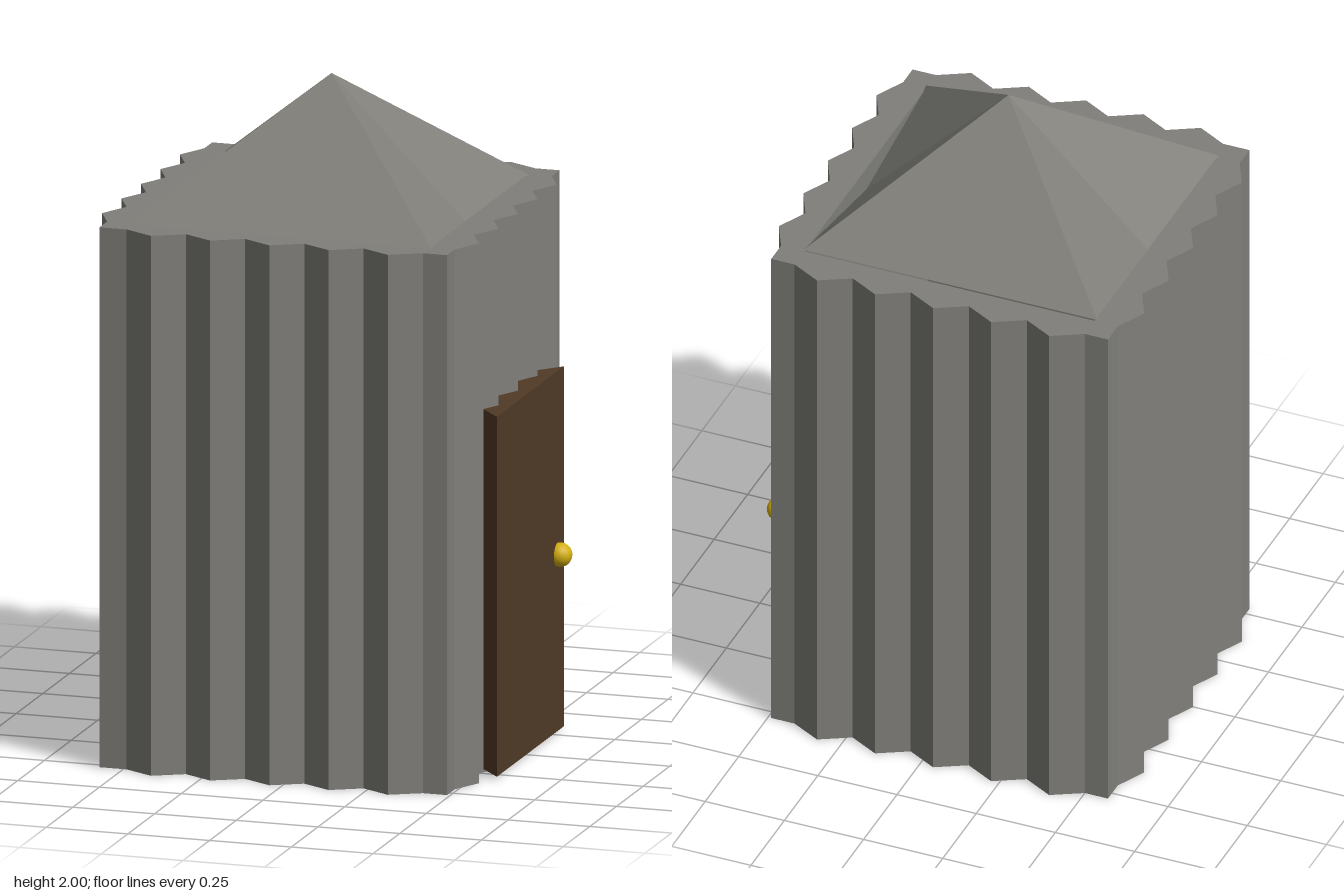
import * as THREE from 'three';

const WALL_TOP = 1.62;

const paint = (color, extra = {}) => new THREE.MeshStandardMaterial({ color, ...extra });

function addMesh(group, name, geometry, material) {
  const mesh = new THREE.Mesh(geometry, material);
  mesh.name = name;
  group.add(mesh);
  return mesh;
}

// Extrudes a plan drawn in (x, z) between two heights
function extrudePlan(shape, bottom, top) {
  const geometry = new THREE.ExtrudeGeometry(shape, { depth: top - bottom, bevelEnabled: false });
  geometry.rotateX(Math.PI / 2);
  geometry.translate(0, top, 0);
  return geometry;
}

// Zigzag of five ribs from a to b; peaks are pushed out by (ox, oz)
function ribs(a, b, ox, oz) {
  const points = [];
  for (let i = 0; i <= 10; i++) {
    const t = i / 10, out = i % 2;
    points.push(new THREE.Vector2(
      a[0] + (b[0] - a[0]) * t + ox * out,
      a[1] + (b[1] - a[1]) * t + oz * out));
  }
  return points;
}

export function createModel() {
  const group = new THREE.Group();
  group.name = 'shed';
  const metal = paint(0x807f7a, { flatShading: true, side: THREE.DoubleSide });

  // Corrugated walls: a hollow tube, open at top and bottom
  const x0 = -0.573, x1 = 0.49, z0 = -0.53, z1 = 0.526;
  const plan = new THREE.Shape([
    new THREE.Vector2(x0, z0),
    ...ribs([-0.5, z0], [0.416, z0], 0, -0.05),
    new THREE.Vector2(x1, z0),
    ...ribs([x1, -0.457], [x1, 0.455], 0.045, 0),
    new THREE.Vector2(x1, z1),
    ...ribs([0.416, z1], [-0.49, z1], 0, 0.05),
    new THREE.Vector2(x0, z1),
    ...ribs([x0, 0.455], [x0, -0.457], -0.045, 0),
  ]);
  plan.holes.push(new THREE.Path([
    new THREE.Vector2(-0.5, -0.457), new THREE.Vector2(-0.5, 0.465),
    new THREE.Vector2(0.416, 0.465), new THREE.Vector2(0.416, -0.457),
  ]));
  addMesh(group, 'walls', extrudePlan(plan, 0, WALL_TOP), metal);

  // Pyramid roof, its two side slopes folded in slightly along the middle
  const apex = [-0.033, 2, 0.005];
  const base = [
    [-0.505, WALL_TOP, 0.465], [0.422, WALL_TOP, 0.465],
    [0.422, WALL_TOP - 0.08, 0.005],
    [0.422, WALL_TOP, -0.45], [-0.505, WALL_TOP, -0.45],
    [-0.505, WALL_TOP - 0.08, 0.005],
  ];
  const corners = base.flatMap((p, i) => [...p, ...base[(i + 1) % base.length], ...apex]);
  const roof = new THREE.BufferGeometry();
  roof.setAttribute('position', new THREE.Float32BufferAttribute(corners, 3));
  roof.computeVertexNormals();
  addMesh(group, 'roof', roof, metal);

  // Door with edges that slant in towards the wall
  const doorPlan = new THREE.Shape([
    new THREE.Vector2(0.573, -0.315), new THREE.Vector2(0.573, 0.312),
    new THREE.Vector2(0.46, 0.185), new THREE.Vector2(0.46, -0.188),
  ]);
  addMesh(group, 'door', extrudePlan(doorPlan, 0.01, 1.09), paint(0x503a26, { flatShading: true }));

  // Door knob
  const knob = addMesh(group, 'doorKnob', new THREE.SphereGeometry(0.036, 16, 12), paint(0xd4b010));
  knob.position.set(0.581, 0.54, -0.256);

  return group;
}
